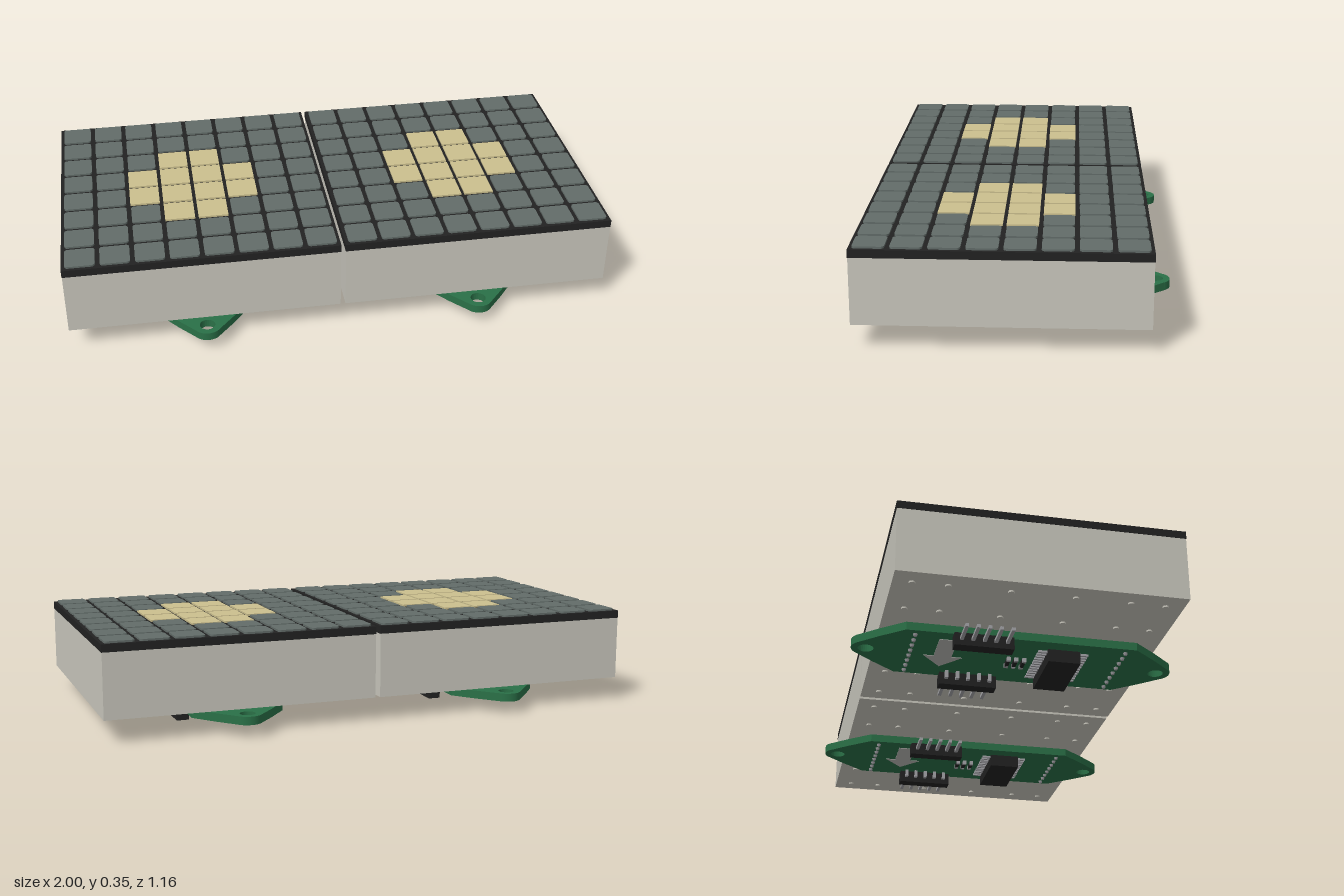
import * as THREE from 'three';

const mat = (name, color, extra = {}) => {
  const m = new THREE.MeshStandardMaterial({ color, ...extra });
  m.name = name;
  return m;
};

export function createModel() {
  const housing = mat('housing grey', 0xc9c7bd);
  const black = mat('black plastic', 0x222222);
  const offTile = mat('unlit tile', 0x626c69);
  const onTile = mat('lit tile', 0xcbbf8e);
  const green = mat('board green', 0x2a7047);
  const metal = mat('pin metal', 0xa4a4a8);
  const silk = mat('board marking', 0xb8b8b4);

  const add = (group, name, geo, material, x = 0, y = 0, z = 0) => {
    const mesh = new THREE.Mesh(geo, material);
    mesh.name = name;
    mesh.position.set(x, y, z);
    group.add(mesh);
    return mesh;
  };
  // box given by its bottom height and top height
  const box = (group, name, material, w, d, y0, y1, x = 0, z = 0) =>
    add(group, name, new THREE.BoxGeometry(w, y1 - y0, d), material, x, (y0 + y1) / 2, z);
  // flat plate drawn in x and z, thickness going downwards
  const plate = (shape, depth) =>
    new THREE.ExtrudeGeometry(shape, { depth, bevelEnabled: false, curveSegments: 12 }).rotateX(Math.PI / 2);

  // rounded square tile
  const h = 0.053, r = 0.012;
  const tileShape = new THREE.Shape();
  tileShape.moveTo(h - r, -h);
  [[1, -1], [1, 1], [-1, 1], [-1, -1]].forEach(([sx, sz], i) => {
    tileShape.absarc(sx * (h - r), sz * (h - r), r, (i - 1) * Math.PI / 2, i * Math.PI / 2);
  });
  const offGeo = plate(tileShape, 0.008);
  const onGeo = new THREE.BoxGeometry(0.11, 0.008, 0.11).translate(0, -0.004, 0);

  // board outline with a rounded, drilled ear at each end
  const outline = new THREE.Shape();
  outline.moveTo(0.168, -0.41);
  outline.lineTo(0.168, 0.41);
  outline.lineTo(0.1, 0.495);
  outline.absarc(0, 0.53, 0.052, 0.6, Math.PI - 0.6);
  outline.lineTo(-0.1, 0.495);
  outline.lineTo(-0.168, 0.41);
  outline.lineTo(-0.168, -0.41);
  outline.lineTo(-0.1, -0.495);
  outline.absarc(0, -0.53, 0.052, Math.PI + 0.6, 2 * Math.PI - 0.6);
  outline.lineTo(0.1, -0.495);
  outline.closePath();
  for (const s of [-1, 1]) {
    const hole = new THREE.Path();
    hole.absarc(0, s * 0.53, 0.028, 0, Math.PI * 2, true);
    outline.holes.push(hole);
  }
  const boardGeo = plate(outline, 0.03);

  // direction arrow pointing to +x
  const arrow = new THREE.Shape([[0.1, 0], [0.02, 0.07], [0.02, 0.032], [-0.11, 0.032],
    [-0.11, -0.032], [0.02, -0.032], [0.02, -0.07]].map(([x, z]) => new THREE.Vector2(x, z)));
  const arrowGeo = plate(arrow, 0.003);

  const jointGeo = new THREE.CylinderGeometry(0.009, 0.006, 0.01, 8);
  const studGeo = new THREE.CylinderGeometry(0.011, 0.011, 0.006, 8);

  function displayModule() {
    const g = new THREE.Group();
    g.name = 'displayModule';

    // housing and black face
    box(g, 'housing', housing, 0.99, 0.99, 0.088, 0.322);
    box(g, 'facePlate', black, 0.992, 0.992, 0.322, 0.35);

    // 8 by 8 tiles with a stepped diamond lit in the middle
    for (let i = 0; i < 8; i++) for (let j = 0; j < 8; j++) {
      const a = Math.abs(i - 3.5), b = Math.abs(j - 3.5);
      const lit = a < 2 && b < 2 && a + b < 3;
      add(g, lit ? 'litTile' : 'tile', lit ? onGeo : offGeo, lit ? onTile : offTile,
        (i - 3.5) * 0.123, 0.357, (j - 3.5) * 0.123);
    }

    // small studs under the housing
    for (const x of [-0.43, -0.25, 0.25, 0.43])
      for (const z of [-0.43, -0.31, -0.1, 0.12, 0.31, 0.43])
        add(g, 'housingStud', studGeo, housing, x, 0.085, z);

    // circuit board and its arrow
    add(g, 'circuitBoard', boardGeo, green, 0, 0.08, 0);
    add(g, 'arrowMark', arrowGeo, silk, -0.01, 0.051, -0.255);

    // soldered display pins near both ends
    for (const z of [-0.375, 0.375]) for (let i = 0; i < 8; i++) {
      const x = (i - 3.5) * 0.04;
      add(g, 'solderJoint', jointGeo, metal, x, 0.046, z);
      box(g, 'displayPin', metal, 0.01, 0.01, 0.079, 0.09, x, z);
    }

    // chip with two rows of legs
    box(g, 'chip', black, 0.236, 0.116, 0.003, 0.05, 0, 0.158);
    for (const s of [-1, 1]) for (let i = 0; i < 12; i++) {
      const x = (i - 5.5) * 0.019;
      box(g, 'chipLeg', metal, 0.008, 0.036, 0.04, 0.048, x, 0.158 + s * 0.073);
    }

    // small parts between chip and headers
    for (const z of [0.034, 0.005, -0.022]) {
      box(g, 'smallPart', black, 0.04, 0.013, 0.036, 0.05, 0, z);
      for (const s of [-1, 1]) box(g, 'smallPartEnd', metal, 0.012, 0.014, 0.035, 0.05, s * 0.026, z);
    }

    // side headers with five outward pins
    for (const s of [-1, 1]) {
      box(g, 'header', black, 0.045, 0.21, 0.003, 0.05, s * 0.16, -0.14);
      for (let i = 0; i < 5; i++) {
        const z = -0.14 + (i - 2) * 0.04;
        box(g, 'headerPin', metal, 0.165, 0.012, 0.022, 0.034, s * 0.2025, z);
        box(g, 'headerPinLeg', metal, 0.012, 0.012, 0.022, 0.05, s * 0.126, z);
      }
    }
    return g;
  }

  // two modules side by side
  const model = new THREE.Group();
  model.name = 'displayPair';
  for (const s of [-1, 1]) {
    const m = displayModule();
    m.position.set(s * 0.504, -0.003, 0);
    model.add(m);
  }
  return model;
}
